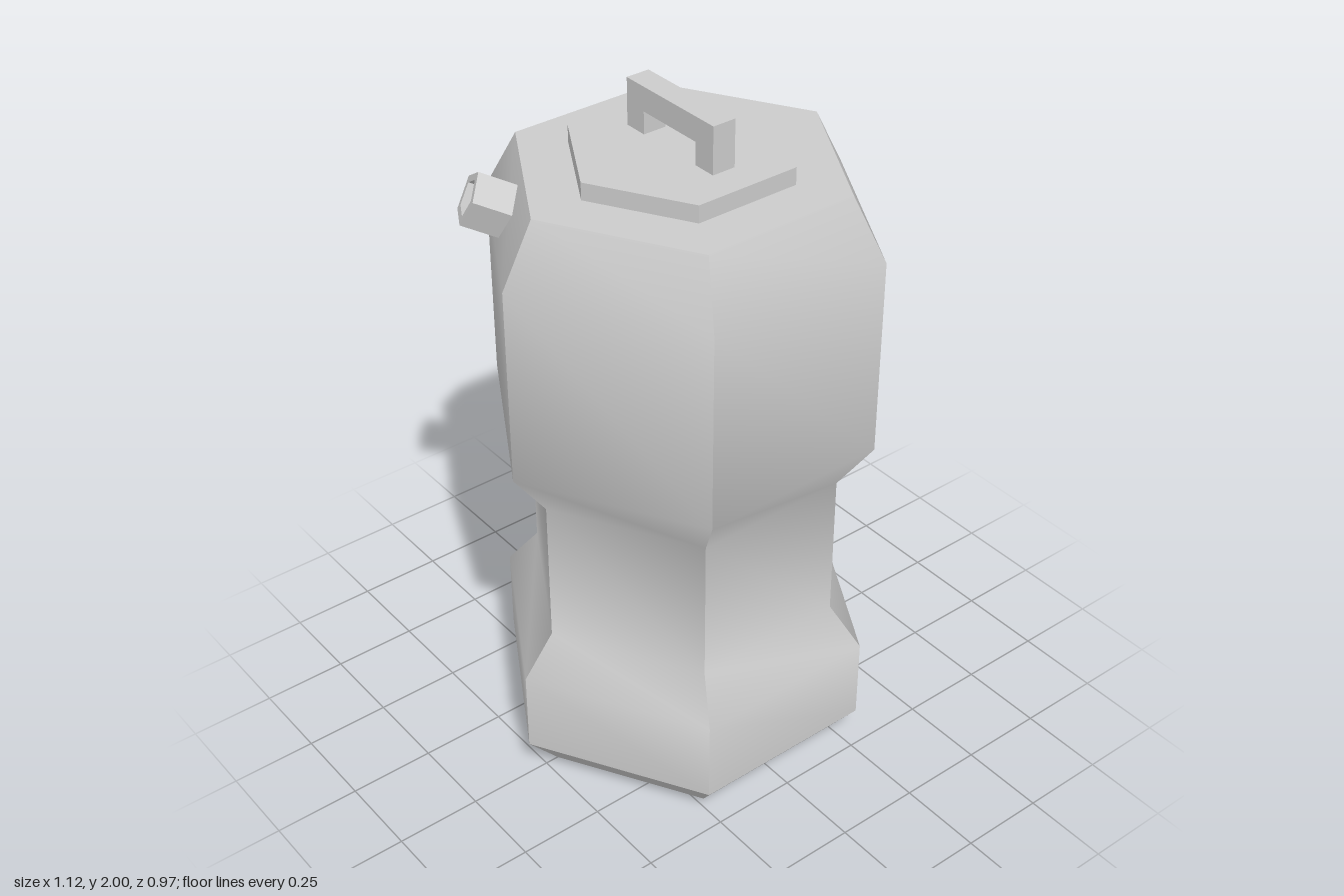
import * as THREE from 'three';
import { toCreasedNormals } from 'three/addons/utils/BufferGeometryUtils.js';

const material = new THREE.MeshStandardMaterial({ color: 0xcccccc });

function addMesh(parent, name, geometry) {
  const mesh = new THREE.Mesh(geometry, material);
  mesh.name = name;
  parent.add(mesh);
  return mesh;
}

// Faceted solid turned around y from [radius, height] pairs; soft bevels, crisp facet edges.
function facetedTurn(profile, sides, start = 0) {
  const points = profile.map(([r, y]) => new THREE.Vector2(r, y));
  const geometry = new THREE.LatheGeometry(points, sides, start);
  return toCreasedNormals(geometry, THREE.MathUtils.degToRad(35));
}

export function createModel() {
  const model = new THREE.Group();
  model.name = 'canister';

  // Hexagonal body with a recessed base, narrow waist and bevelled shoulders
  addMesh(model, 'body', facetedTurn([
    [0, 0.1], [0.35, 0.1], [0.35, 0],
    [0.46, 0], [0.556, 0.11], [0.556, 0.36],
    [0.46, 0.48], [0.46, 0.92],
    [0.56, 1.06], [0.56, 1.64], [0.465, 1.815], [0, 1.815],
  ], 6, Math.PI / 2));

  // Flat hexagonal lid
  addMesh(model, 'lid', facetedTurn([
    [0, 1.81], [0.313, 1.81], [0.313, 1.865], [0, 1.865],
  ], 6, Math.PI / 2));

  // Square-section bracket handle running front to back
  const arch = new THREE.Shape([
    [-0.175, 1.86], [-0.105, 1.86], [-0.105, 1.93], [0.105, 1.93],
    [0.105, 1.86], [0.175, 1.86], [0.175, 2], [-0.175, 2],
  ].map(([x, y]) => new THREE.Vector2(x, y)));
  const handle = new THREE.ExtrudeGeometry(arch, { depth: 0.07, bevelEnabled: false });
  handle.translate(0, 0, -0.035).rotateY(Math.PI / 2);
  addMesh(model, 'handle', handle);

  // Five-sided hollow spout standing square on the back right shoulder bevel
  const spout = addMesh(model, 'spout', facetedTurn([
    [0, -0.15], [0.076, -0.15], [0.076, 0], [0.052, 0], [0.052, -0.045], [0, -0.045],
  ], 5));
  const tilt = THREE.MathUtils.degToRad(24.8);
  const outward = new THREE.Vector3(-Math.cos(Math.PI / 6), 0, -Math.sin(Math.PI / 6));
  const up = new THREE.Vector3(0, 1, 0);
  const axis = outward.clone().multiplyScalar(Math.cos(tilt)).addScaledVector(up, Math.sin(tilt));
  const crest = up.clone().multiplyScalar(Math.cos(tilt)).addScaledVector(outward, -Math.sin(tilt));
  const side = axis.clone().cross(crest);
  spout.quaternion.setFromRotationMatrix(new THREE.Matrix4().makeBasis(side, axis, crest));
  spout.position.copy(outward).multiplyScalar(0.546).setY(1.761);

  return model;
}
